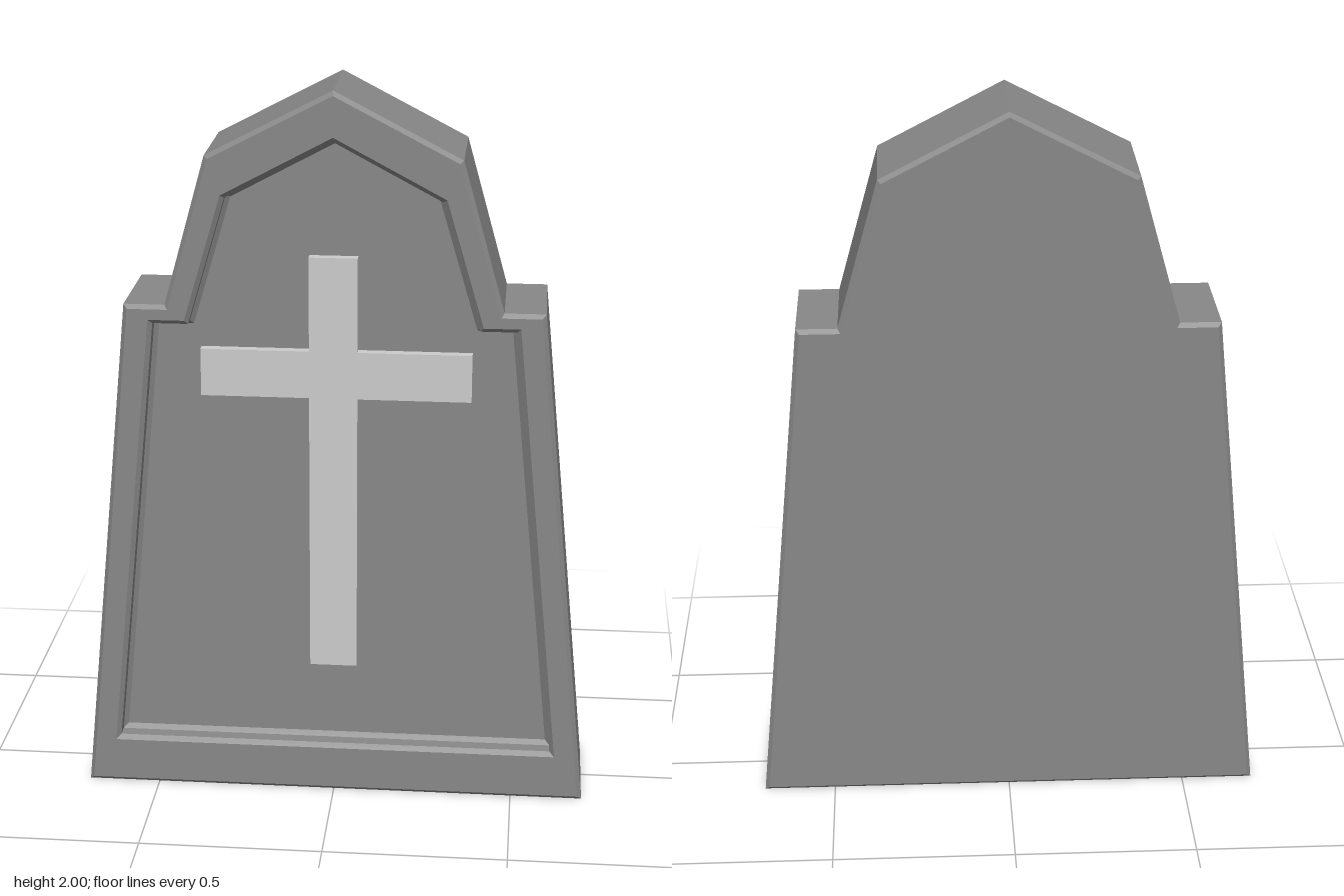
import * as THREE from 'three';

// Mirror a right-hand half profile (bottom to apex) into a closed counter-clockwise outline
function mirrored(half) {
  const left = half.slice(0, -1).reverse().map(([x, y]) => [-x, y]);
  return [...half, ...left].map(([x, y]) => new THREE.Vector2(x, y));
}

// Shrink an outline inward by d with mitred corners
function inset(pts, d) {
  const n = pts.length;
  const normal = (a, b) => new THREE.Vector2(a.y - b.y, b.x - a.x).normalize();
  return pts.map((p, i) => {
    const n1 = normal(pts[(i + n - 1) % n], p);
    const n2 = normal(p, pts[(i + 1) % n]);
    return p.clone().addScaledVector(n1.clone().add(n2), d / (1 + n1.dot(n2)));
  });
}

// Join rings from back to front, closing the first and last with flat caps
function loftRings(rings) {
  const pos = [];
  const put = (ring, i) => pos.push(ring.pts[i].x, ring.pts[i].y, ring.z);
  for (let r = 0; r < rings.length - 1; r++) {
    const a = rings[r], b = rings[r + 1], n = a.pts.length;
    for (let i = 0; i < n; i++) {
      const j = (i + 1) % n;
      put(a, i); put(a, j); put(b, j);
      put(a, i); put(b, j); put(b, i);
    }
  }
  const first = rings[0], last = rings[rings.length - 1];
  for (const [a, b, c] of THREE.ShapeUtils.triangulateShape(first.pts, [])) {
    put(first, c); put(first, b); put(first, a);
  }
  for (const [a, b, c] of THREE.ShapeUtils.triangulateShape(last.pts, [])) {
    put(last, a); put(last, b); put(last, c);
  }
  const geo = new THREE.BufferGeometry();
  geo.setAttribute('position', new THREE.Float32BufferAttribute(pos, 3));
  geo.computeVertexNormals();
  return geo;
}

export function createModel() {
  const group = new THREE.Group();
  group.name = 'gravestone';
  const stone = new THREE.MeshStandardMaterial({ color: 0x888888, flatShading: true });
  const paleStone = new THREE.MeshStandardMaterial({ color: 0xcccccc, flatShading: true });

  const Z = 0.154;       // half thickness
  const bevel = 0.011;
  const floorZ = Z - 0.06;

  // Slab with bevelled edges and a stepped recess in its front
  const outer = mirrored([[0.7, 0], [0.56, 1.42], [0.45, 1.42], [0.337, 1.825], [0, 2]]);
  const recess = mirrored([[0.62, 0.132], [0.495, 1.38], [0.397, 1.38], [0.296, 1.722], [0, 1.88]]);
  const slab = new THREE.Mesh(loftRings([
    { pts: inset(outer, bevel), z: -Z },
    { pts: outer, z: -Z + bevel },
    { pts: outer, z: Z - bevel },
    { pts: inset(outer, bevel), z: Z },
    { pts: recess, z: Z },
    { pts: inset(recess, 0.012), z: Z - 0.012 },
    { pts: inset(recess, 0.012), z: floorZ + 0.012 },
    { pts: inset(recess, 0.024), z: floorZ },
  ]), stone);
  slab.name = 'slab';
  group.add(slab);

  // Raised cross standing on the recess floor
  const [l, r, armL, armR] = [-0.068, 0.062, -0.36, 0.368];
  const [foot, armLow, armHigh, head] = [0.375, 1.162, 1.293, 1.552];
  const crossShape = new THREE.Shape([
    [l, foot], [r, foot], [r, armLow], [armR, armLow], [armR, armHigh], [r, armHigh],
    [r, head], [l, head], [l, armHigh], [armL, armHigh], [armL, armLow], [l, armLow],
  ].map(([x, y]) => new THREE.Vector2(x, y)));
  const cross = new THREE.Mesh(
    new THREE.ExtrudeGeometry(crossShape, { depth: 0.03, bevelEnabled: false }), paleStone);
  cross.name = 'cross';
  cross.position.z = floorZ - 0.004;
  group.add(cross);

  return group;
}
